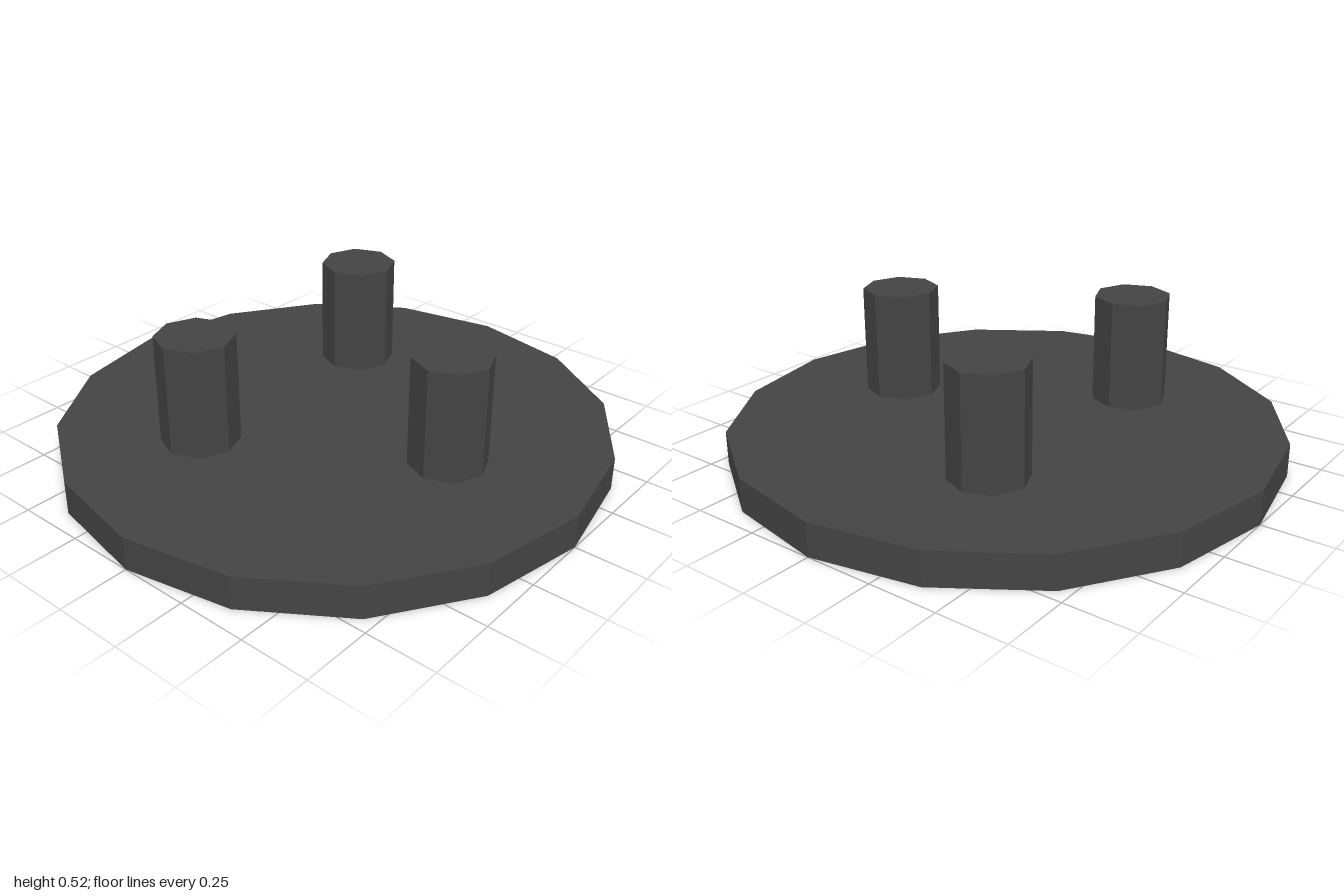
import * as THREE from 'three';

export function createModel() {
  const model = new THREE.Group();
  const darkGrey = new THREE.MeshStandardMaterial({ color: 0x444444, flatShading: true });
  darkGrey.name = 'darkGrey';

  // Upright faceted cylinder standing at height y
  const addCylinder = (name, radius, height, sides, x, y, z) => {
    const mesh = new THREE.Mesh(new THREE.CylinderGeometry(radius, radius, height, sides), darkGrey);
    mesh.name = name;
    mesh.position.set(x, y + height / 2, z);
    model.add(mesh);
  };

  // Round base plate
  const baseHeight = 0.12;
  addCylinder('base', 1, baseHeight, 16, 0, 0, 0);

  // Three pegs evenly spaced on a circle
  for (let i = 0; i < 3; i++) {
    const a = (i * Math.PI * 2) / 3;
    addCylinder(`peg${i + 1}`, 0.14, 0.4, 8, 0.5 * Math.cos(a), baseHeight, 0.5 * Math.sin(a));
  }

  return model;
}
